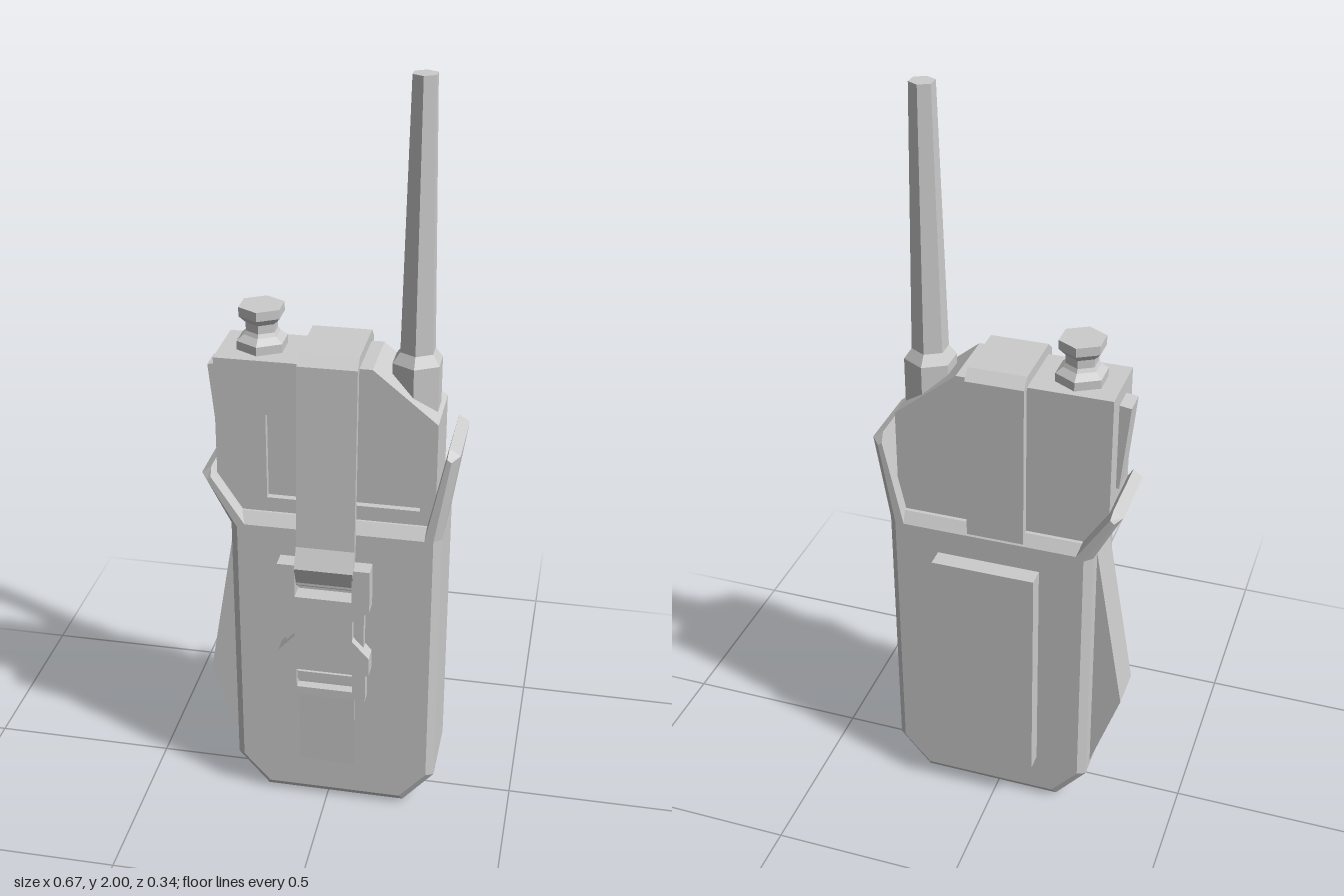
import * as THREE from 'three';

const material = new THREE.MeshStandardMaterial({ color: 0xcccccc, flatShading: true, side: THREE.DoubleSide });
const vectors = (pts) => pts.map(([x, y]) => new THREE.Vector2(x, y));

function add(parent, name, geometry, x = 0, y = 0, z = 0) {
  const mesh = new THREE.Mesh(geometry, material);
  mesh.name = name;
  mesh.position.set(x, y, z);
  parent.add(mesh);
  return mesh;
}

// Flat outline in x/y, extruded from z0 to z1, with optional holes
function slab(pts, z0, z1, holes = []) {
  const shape = new THREE.Shape(vectors(pts));
  holes.forEach((h) => shape.holes.push(new THREE.Path(vectors(h))));
  return new THREE.ExtrudeGeometry(shape, { depth: z1 - z0, bevelEnabled: false }).translate(0, 0, z0);
}

// Outline in z/y, extruded across x
function sideSlab(pts, x0, x1) {
  return slab(pts, -x1, -x0).rotateY(-Math.PI / 2);
}

const rect = (x0, y0, x1, y1) => [[x0, y0], [x1, y0], [x1, y1], [x0, y1]];

// Prism whose front and back faces use a smaller outline, giving chamfered edges
function chamferedPrism(outer, face, levels) {
  const n = outer.length;
  const rings = [face, outer, outer, face];
  const positions = rings.flatMap((ring, r) => ring.flatMap(([x, y]) => [x, y, levels[r]]));
  const index = [];
  for (let r = 0; r < 3; r++) {
    for (let i = 0; i < n; i++) {
      const j = (i + 1) % n;
      const a = r * n + i, b = r * n + j, c = a + n, d = b + n;
      index.push(a, b, d, a, d, c);
    }
  }
  for (const [a, b, c] of THREE.ShapeUtils.triangulateShape(vectors(face), [])) {
    index.push(c, b, a, a + 3 * n, b + 3 * n, c + 3 * n);
  }
  const geometry = new THREE.BufferGeometry();
  geometry.setAttribute('position', new THREE.Float32BufferAttribute(positions, 3));
  geometry.setIndex(index);
  const flat = geometry.toNonIndexed();
  flat.computeVertexNormals();
  return flat;
}

const hexTurned = (profile) => new THREE.LatheGeometry(vectors(profile), 6);

export function createModel() {
  const group = new THREE.Group();
  group.name = 'radioInPouch';

  // Pouch with flared ears on both sides
  const outer = [
    [-0.17, 0], [0.21, 0], [0.295, 0.1], [0.295, 0.85], [0.333, 1.09], [0.305, 1.11],
    [0.255, 0.88], [-0.225, 0.88], [-0.303, 1.0], [-0.328, 0.98], [-0.255, 0.84], [-0.255, 0.1],
  ];
  const face = [
    [-0.162, 0.027], [0.202, 0.027], [0.275, 0.11], [0.275, 0.85], [0.313, 1.08], [0.302, 1.088],
    [0.252, 0.85], [-0.215, 0.85], [-0.3, 0.98], [-0.31, 0.97], [-0.235, 0.84], [-0.235, 0.11],
  ];
  add(group, 'pouch', chamferedPrism(outer, face, [-0.125, -0.105, 0.09, 0.112]));
  add(group, 'sideBulge', slab([[-0.25, 0.86], [-0.335, 0.35], [-0.25, 0.1]], -0.065, 0.05));
  add(group, 'beltPlate', slab(rect(-0.118, 0.14, 0.158, 0.78), -0.173, -0.12));

  // Radio body with a sunken screen
  const body = [
    [-0.29, 1.3], [-0.29, 0.98], [-0.22, 0.82], [0.25, 0.82], [0.275, 0.95], [0.275, 1.165], [0.11, 1.3],
  ];
  add(group, 'body', slab(body, -0.095, 0.065));
  add(group, 'bodyFront', slab(body, 0.065, 0.083, [rect(-0.16, 0.92, 0.235, 1.155)]));
  add(group, 'talkButton', slab([[-0.285, 1.26], [-0.321, 1.255], [-0.298, 1.02], [-0.285, 1.02]], -0.04, 0.026));

  // Antenna and knob, both six-sided
  add(group, 'antenna', hexTurned([
    [0, 1.1], [0.067, 1.1], [0.067, 1.295], [0.047, 1.322], [0.032, 2], [0, 2],
  ]), 0.207, 0, -0.01);
  add(group, 'knob', hexTurned([
    [0, 1.28], [0.067, 1.28], [0.067, 1.323], [0.048, 1.338], [0.042, 1.348],
    [0.042, 1.37], [0.06, 1.388], [0.06, 1.412], [0, 1.412],
  ]), -0.186, 0, -0.01);

  // Strap running up the back, over the top and down to the buckle
  add(group, 'strap', sideSlab([
    [-0.122, 0.82], [-0.122, 1.305], [-0.095, 1.33], [0.08, 1.33], [0.109, 1.305], [0.14, 0.815],
    [0.168, 0.765], [0.14, 0.7], [0.125, 0.7], [0.145, 0.76], [0.122, 0.8], [0.09, 1.29],
    [0.08, 1.302], [-0.09, 1.302], [-0.1, 1.295], [-0.1, 0.82],
  ], -0.074, 0.078));
  add(group, 'lowerStrap', sideSlab([[0.1, 0.44], [0.122, 0.44], [0.113, 0.12], [0.1, 0.12]], -0.074, 0.076));

  // Buckle: pinched clip with a slot, side prongs and a lower frame
  const buckle = new THREE.Group();
  buckle.name = 'buckle';
  group.add(buckle);
  const half = [[0.121, 0.77], [0.121, 0.65], [0.076, 0.615], [0.076, 0.555], [0.121, 0.505], [0.121, 0.45]];
  const clip = [...half, ...half.map(([x, y]) => [-x, y]).reverse()];
  add(buckle, 'clip', slab(clip, 0.105, 0.158, [rect(-0.075, 0.675, 0.075, 0.75)]));
  add(buckle, 'clipBar', slab(rect(-0.08, 0.705, 0.08, 0.735), 0.115, 0.145));
  for (const side of [-1, 1]) {
    add(buckle, 'prong', new THREE.BoxGeometry(0.035, 0.13, 0.028), side * 0.086, 0.58, 0.122);
  }
  add(buckle, 'lowerFrame', slab(rect(-0.11, 0.36, 0.11, 0.455), 0.105, 0.146, [rect(-0.075, 0.385, 0.075, 0.445)]));
  add(buckle, 'lowerBar', slab(rect(-0.08, 0.405, 0.08, 0.43), 0.112, 0.138));

  return group;
}
